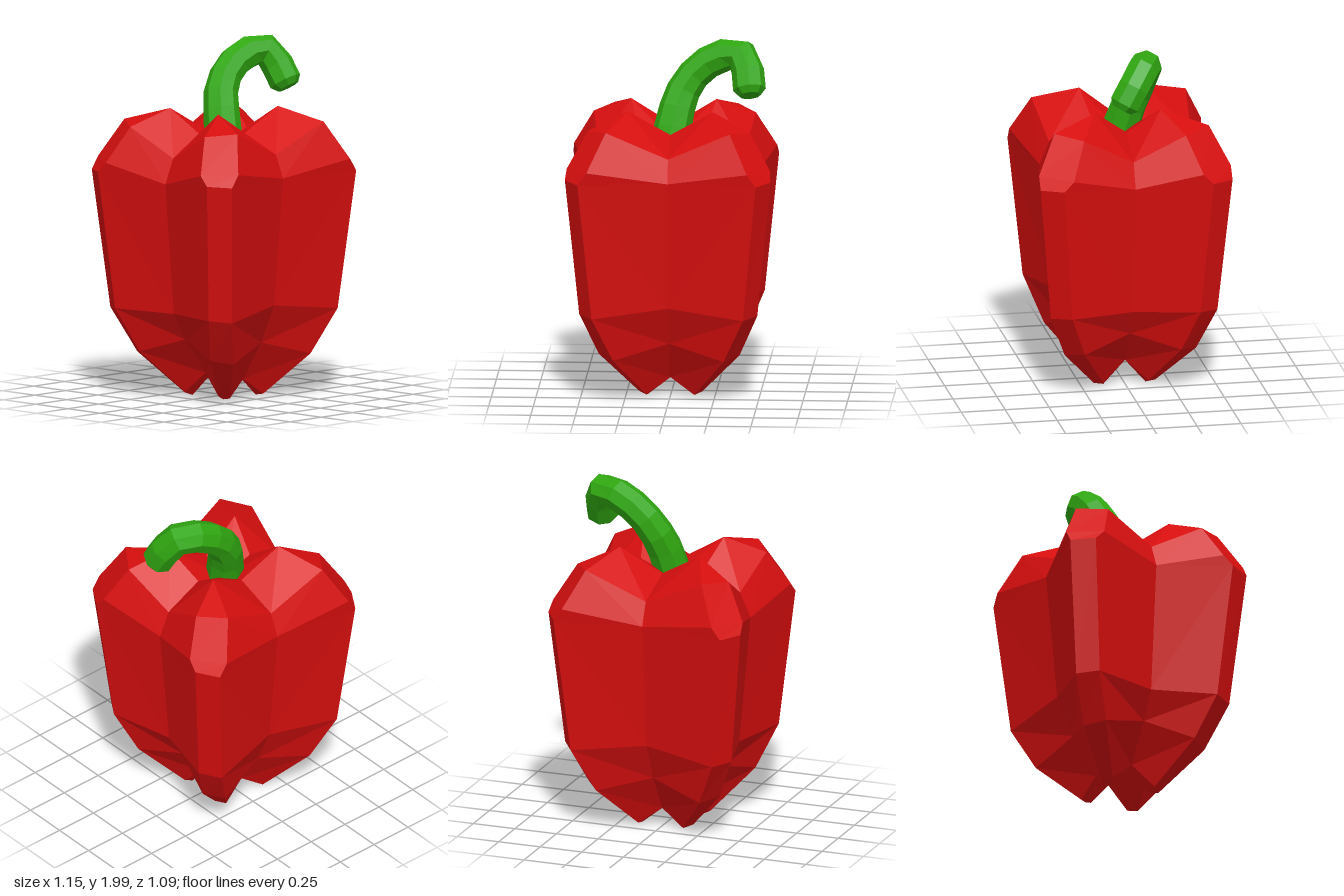
import * as THREE from 'three';

const red = new THREE.MeshStandardMaterial({ color: 0xd60e0e, flatShading: true });
red.name = 'pepper red';
const green = new THREE.MeshStandardMaterial({ color: 0x30a711, flatShading: true });
green.name = 'stem green';

// Skin a stack of closed rings of Vector3; a zero-area triangle is skipped.
// flip(j) picks the diagonal of each quad.
function loft(rings, flip = () => false) {
  const pos = [];
  const tri = (a, b, c) => {
    if (new THREE.Triangle(a, b, c).getArea() < 1e-7) return;
    for (const p of [a, b, c]) pos.push(p.x, p.y, p.z);
  };
  for (let i = 0; i < rings.length - 1; i++) {
    const n = rings[i].length;
    for (let j = 0; j < n; j++) {
      const k = (j + 1) % n;
      const a = rings[i][j], b = rings[i][k], c = rings[i + 1][k], d = rings[i + 1][j];
      if (flip(j)) { tri(a, b, d); tri(b, c, d); }
      else { tri(a, b, c); tri(a, c, d); }
    }
  }
  const geo = new THREE.BufferGeometry();
  geo.setAttribute('position', new THREE.Float32BufferAttribute(pos, 3));
  geo.computeVertexNormals();
  return geo;
}

// One quarter of a body ring: front groove, two lobe corners, side groove.
// Mirrored into a full ring of twelve points.
function lobeRing([gz, a, b, gx]) {
  const v = ([x, y, z], sx, sz) => new THREE.Vector3(x * sx, y, z * sz);
  return [
    v(gz, 1, 1), v(a, 1, 1), v(b, 1, 1),
    v(gx, 1, 1), v(b, 1, -1), v(a, 1, -1),
    v(gz, 1, -1), v(a, -1, -1), v(b, -1, -1),
    v(gx, -1, 1), v(b, -1, 1), v(a, -1, 1),
  ];
}

function makeBody() {
  const centre = (y) => Array(4).fill([0, y, 0]);
  const quarters = [
    centre(0.2),
    // lobe tips
    [[0, 0.105, 0.15], [0.13, 0, 0.12], [0.13, 0, 0.12], [0.15, 0.14, 0]],
    [[0, 0.105, 0.15], [0.135, 0.01, 0.175], [0.178, 0.022, 0.13], [0.15, 0.14, 0]],
    // tapering underside
    [[0, 0.325, 0.29], [0.31, 0.24, 0.375], [0.395, 0.26, 0.275], [0.31, 0.345, 0]],
    [[0, 0.545, 0.39], [0.425, 0.495, 0.475], [0.5, 0.505, 0.365], [0.405, 0.5, 0]],
    // widest part, with a small bevel on each lobe
    [[0, 1.27, 0.46], [0.5, 1.275, 0.547], [0.577, 1.28, 0.425], [0.473, 1.24, 0]],
    [[0, 1.27, 0.46], [0.45, 1.345, 0.547], [0.57, 1.335, 0.37], [0.473, 1.24, 0]],
    // shoulders and peaks
    [[0, 1.4, 0.405], [0.348, 1.555, 0.44], [0.455, 1.535, 0.29], [0.41, 1.38, 0]],
    [[0, 1.49, 0.15], [0.24, 1.63, 0.187], [0.24, 1.63, 0.187], [0.19, 1.49, 0]],
    centre(1.43),
  ];
  return loft(quarters.map(lobeRing), (j) => j % 3 === 2);
}

function makeStem() {
  const path = new THREE.CatmullRomCurve3([
    [-0.01, 1.4, 0.01], [0.015, 1.56, -0.03], [0.065, 1.71, -0.085],
    [0.15, 1.82, -0.105], [0.27, 1.895, -0.095], [0.385, 1.91, -0.055],
    [0.425, 1.83, 0.0], [0.438, 1.735, 0.055],
  ].map((p) => new THREE.Vector3(...p)));
  const steps = 9, sides = 8;
  const { normals, binormals, tangents } = path.computeFrenetFrames(steps);
  const ring = (i, r, ahead = 0) => Array.from({ length: sides }, (_, j) => {
    const t = (j / sides) * Math.PI * 2;
    return path.getPointAt(i / steps)
      .addScaledVector(normals[i], r * Math.cos(t))
      .addScaledVector(binormals[i], r * Math.sin(t))
      .addScaledVector(tangents[i], ahead);
  });
  const rings = [ring(0, 0)];
  for (let i = 0; i <= steps; i++) rings.push(ring(i, 0.11 - 0.018 * Math.min(1, i / 4)));
  // bevelled tip
  rings.push(ring(steps, 0.062, 0.035), ring(steps, 0, 0.035));
  return loft(rings);
}

export function createModel() {
  const model = new THREE.Group();
  model.name = 'bellPepper';
  const body = new THREE.Mesh(makeBody(), red);
  body.name = 'body';
  const stem = new THREE.Mesh(makeStem(), green);
  stem.name = 'stem';
  model.add(body, stem);
  return model;
}
